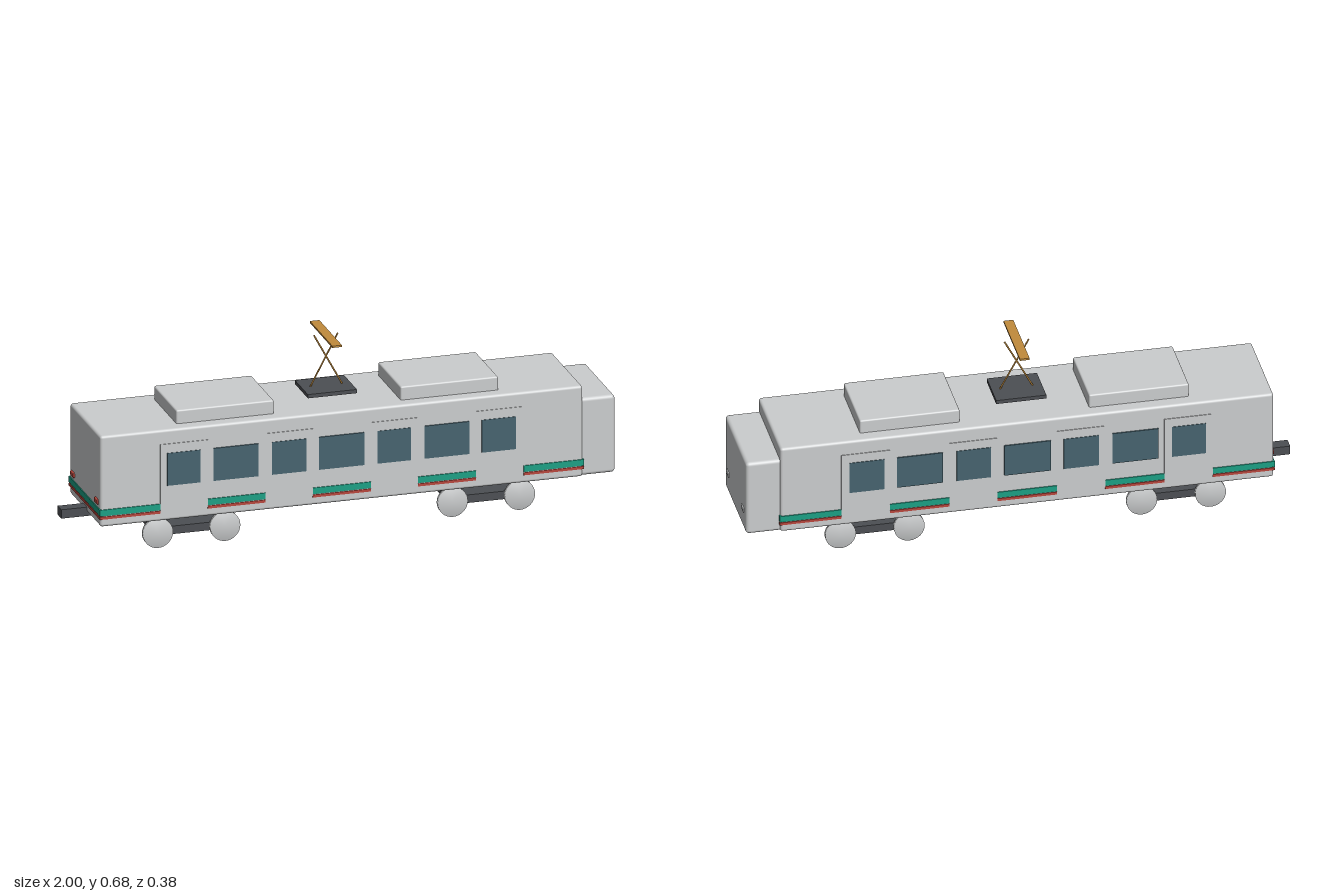
import * as THREE from 'three';
import { RoundedBoxGeometry } from 'three/addons/geometries/RoundedBoxGeometry.js';

const material = (name, color) => {
  const m = new THREE.MeshStandardMaterial({ color });
  m.name = name;
  return m;
};

export function createModel() {
  const shell = material('light grey shell', 0xcbcdce);
  const glass = material('window glass', 0x46636f);
  const teal = material('teal stripe', 0x1ba084);
  const red = material('red', 0xb8463c);
  const dark = material('dark metal', 0x4c4f53);
  const brass = material('brass', 0xc18b3c);

  const tram = new THREE.Group();
  tram.name = 'railcar';

  const add = (name, geometry, mat, x = 0, y = 0, z = 0, parent = tram) => {
    const mesh = new THREE.Mesh(geometry, mat);
    mesh.name = name;
    mesh.position.set(x, y, z);
    parent.add(mesh);
    return mesh;
  };
  // Box given by its limits; a radius rounds its edges
  const box = (name, mat, [x0, x1], [y0, y1], [z0, z1], radius = 0) => {
    const size = [x1 - x0, y1 - y0, z1 - z0];
    const g = radius ? new RoundedBoxGeometry(...size, 3, radius) : new THREE.BoxGeometry(...size);
    return add(name, g, mat, (x0 + x1) / 2, (y0 + y1) / 2, (z0 + z1) / 2);
  };

  // Main shell, cab nose and coupler
  const back = -0.905, front = 0.874, side = 0.183;
  box('body', shell, [back, front], [0.11, 0.45], [-side, side], 0.01);
  box('cabNose', shell, [0.855, 0.996], [0.11, 0.4], [-0.175, 0.175], 0.013);
  box('coupler', dark, [-1, -0.88], [0.097, 0.13], [-0.022, 0.022]);

  // Roof equipment
  for (const x of [-0.43, 0.397])
    box('roofUnit', shell, [x - 0.18, x + 0.18], [0.44, 0.5], [-0.135, 0.135], 0.006);

  // Doors, windows and interrupted stripes, repeated on both sides
  const doors = [[-0.685, -0.51], [-0.297, -0.123], [0.092, 0.265], [0.479, 0.655]];
  const windows = [[-0.66, -0.537], [-0.489, -0.323], [-0.273, -0.147], [-0.1, 0.067],
    [0.115, 0.239], [0.289, 0.454], [0.5, 0.626]];
  const stripes = [[back - 0.003, -0.685], [-0.51, -0.297], [-0.123, 0.092], [0.265, 0.479],
    [0.655, front + 0.003]];
  const bands = [['tealStripe', teal, [0.152, 0.175]], ['redStripe', red, [0.139, 0.149]]];
  for (const s of [1, -1]) {
    const depth = (out) => (s > 0 ? [side - 0.003, side + out] : [-side - out, -side + 0.003]);
    for (const d of doors) box('door', shell, d, [0.145, 0.397], depth(0.0025));
    for (const w of windows) box('window', glass, w, [0.241, 0.363], depth(0.0045));
    for (const x of stripes)
      for (const [name, mat, y] of bands) box(name, mat, x, y, depth(0.0035));
  }
  // Stripes across both ends (the nose hides the middle of the front ones)
  for (const [name, mat, y] of bands) {
    box(name, mat, [back - 0.0035, back + 0.003], y, [-side - 0.0035, side + 0.0035]);
    box(name, mat, [front - 0.003, front + 0.0035], y, [-side - 0.0035, side + 0.0035]);
  }

  // Headlights and tail lights
  for (const s of [1, -1]) {
    const lamp = new RoundedBoxGeometry(0.009, 0.018, 0.036, 2, 0.003);
    add('headlight', lamp, shell, 0.9955, 0.189, s * 0.123);
    add('tailLight', lamp, red, back - 0.002, 0.197, s * 0.143);
  }

  // Bogies with softly shaded wheels
  const wheelProfile = [[0, -0.0085], [0.055, -0.0085], [0.055, 0.0085], [0, 0.0085]]
    .map(([r, h]) => new THREE.Vector2(r, h));
  const wheel = new THREE.LatheGeometry(wheelProfile, 32).rotateX(Math.PI / 2);
  for (const x of [-0.56, 0.527]) {
    box('bogieFrame', dark, [x - 0.13, x + 0.13], [0.04, 0.07], [-0.14, 0.14]);
    for (const dx of [-0.124, 0.124])
      for (const z of [-0.148, 0.148]) add('wheel', wheel, shell, x + dx, 0.055, z);
  }

  // Pantograph: base, crossed arms and contact bar
  box('pantographBase', dark, [-0.108, 0.073], [0.472, 0.486], [-0.078, 0.078]);
  const arms = [[-0.078, 0.027], [0.045, -0.062]];
  for (const [low, high] of arms) {
    const a = new THREE.Vector3(low, 0.48, 0), b = new THREE.Vector3(high, 0.677, 0);
    const path = new THREE.LineCurve3(a, b);
    add('pantographArm', new THREE.TubeGeometry(path, 1, 0.003, 8), brass);
  }
  box('contactBar', brass, [-0.035, 0], [0.673, 0.68], [-0.135, 0.135]);

  return tram;
}
